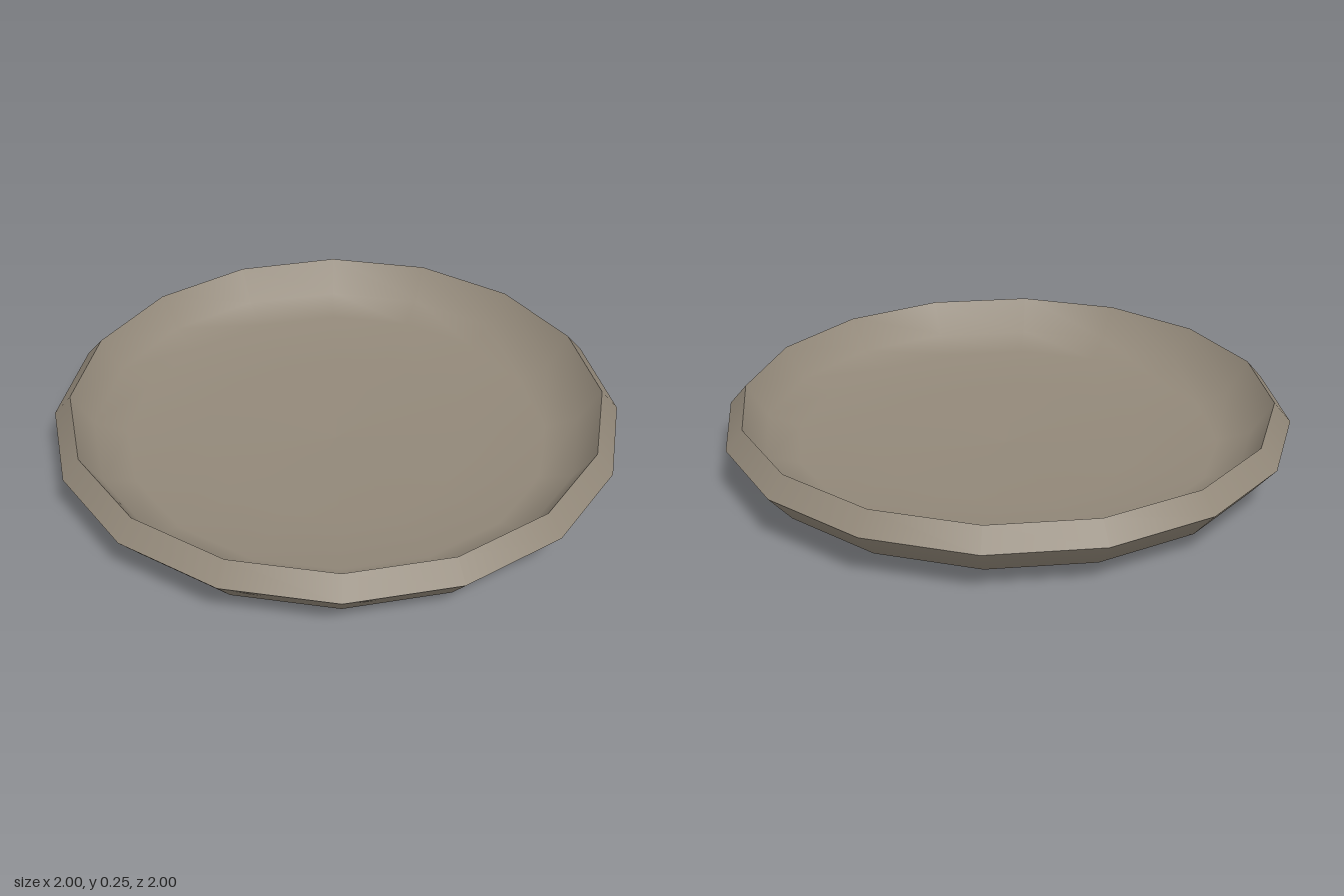
import * as THREE from 'three';

const SIDES = 16;

// Smooth surface of revolution through [radius, height] points
function ring(name, profile, material) {
  const points = profile.map(([r, y]) => new THREE.Vector2(r, y));
  const mesh = new THREE.Mesh(new THREE.LatheGeometry(points, SIDES), material);
  mesh.name = name;
  return mesh;
}

export function createModel() {
  const model = new THREE.Group();
  model.name = 'dish';
  const clay = new THREE.MeshStandardMaterial({ color: 0x928879 });
  clay.name = 'clay';

  // Separate shells keep the widest edge and the rim sharp
  model.add(
    ring('underside', [[0, 0], [0.5, 0.012], [0.77, 0.034], [0.915, 0.08], [1, 0.18]], clay),
    ring('rimBevel', [[1, 0.18], [0.94, 0.25]], clay),
    ring('innerBowl', [[0.94, 0.25], [0.865, 0.135], [0.75, 0.095], [0.48, 0.073], [0, 0.06]], clay)
  );
  return model;
}
